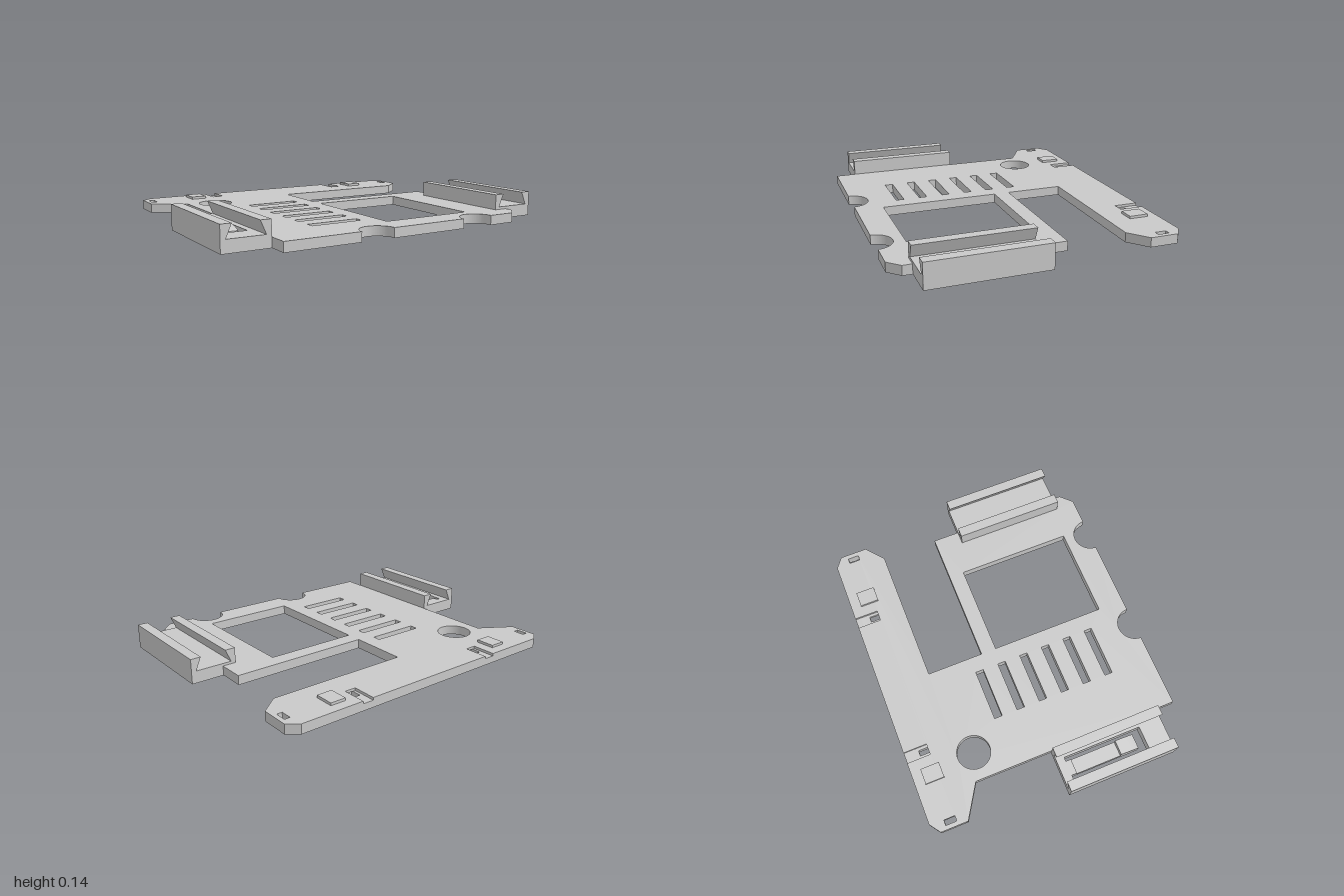
import * as THREE from 'three';
import { toCreasedNormals } from 'three/addons/utils/BufferGeometryUtils.js';

const grey = new THREE.MeshStandardMaterial({ color: 0xc9c9c9 });
grey.name = 'grey plastic';

const PLATE = 0.055, FLOOR = 0.07, RAIL = 0.144;
const Z0 = 0.008, Z1 = 0.677; // ends of the side channels

// Plan outline from (x, z) corners
const outline = (Type, pts) => new Type(pts.map(([x, z]) => new THREE.Vector2(x, -z)));

// Counter-clockwise rectangle in plan
const rect = (x0, x1, z0, z1, Type = THREE.Path) =>
  outline(Type, [[x0, z1], [x1, z1], [x1, z0], [x0, z0]]);

function addMesh(group, name, geometry) {
  const mesh = new THREE.Mesh(geometry, grey);
  mesh.name = name;
  group.add(mesh);
}

// Extrudes a plan shape (x, -z) upwards from y0 to y1
function slab(group, name, shape, y0, y1) {
  const g = new THREE.ExtrudeGeometry(shape, { depth: y1 - y0, bevelEnabled: false, curveSegments: 28 });
  g.rotateX(-Math.PI / 2).translate(0, y0, 0);
  addMesh(group, name, toCreasedNormals(g, 0.5));
}

// Plate outline, optionally with the two shallow notches in its back edge
function plateShape(notched) {
  const s = new THREE.Shape();
  const line = (...pts) => pts.forEach(([x, z]) => s.lineTo(x, -z));
  s.moveTo(-0.86, 0.797);
  if (notched) {
    for (const [a, b] of [[-0.488, -0.422], [0.418, 0.483]])
      line([a, -0.797], [a, -0.655], [b, -0.655], [b, -0.797]);
  }
  line([0.858, -0.797], [0.921, -0.75], [0.921, -0.585], [0.812, -0.495], [-0.025, -0.495],
    [-0.025, -0.153], [0.81, -0.153], [0.81, Z0], [0.73, Z0], [0.73, Z1], [0.81, Z1],
    [0.81, 0.73], [0.743, 0.797]);
  for (const cx of [0.479, -0.191]) {
    line([cx + 0.1, 0.797]);
    s.absarc(cx, -0.797, 0.1, 0, Math.PI, false);
  }
  line([-0.733, 0.797], [-0.733, -0.465], [-0.924, -0.585], [-0.924, -0.75]);
  s.closePath();

  // Round hole, large window and row of vents
  const hole = new THREE.Path();
  hole.absarc(-0.571, 0.416, 0.099, 0, Math.PI * 2, false);
  s.holes.push(hole, rect(-0.024, 0.53, -0.06, 0.637));
  for (let i = 0; i < 6; i++) {
    const z = -0.204 + i * 0.1435;
    s.holes.push(rect(-0.43, -0.122, z - 0.024, z + 0.024));
  }
  return s;
}

// Dovetail channel: a floor with two overhanging rails
function channel(name, x0, x1, slot) {
  const g = new THREE.Group();
  g.name = name;
  const floor = rect(x0, x1, Z0, Z1, THREE.Shape);
  if (slot) floor.holes.push(slot);
  slab(g, 'channelFloor', floor, 0, FLOOR);
  for (const [x, d] of [[x0, 1], [x1, -1]]) {
    const profile = new THREE.Shape([[x, FLOOR], [x + d * 0.028, FLOOR], [x + d * 0.06, RAIL], [x, RAIL]]
      .map(([a, b]) => new THREE.Vector2(a, b)));
    const rail = new THREE.ExtrudeGeometry(profile, { depth: Z1 - Z0, bevelEnabled: false });
    addMesh(g, 'channelRail', rail.translate(0, 0, Z0));
  }
  return g;
}

export function createModel() {
  const model = new THREE.Group();
  model.name = 'mountingBracket';

  // Plate in three layers: strap grooves below, through holes, back notches above
  const [h0, h1] = [-0.711, -0.645];
  const strapHoles = [[-0.899, -0.867], [-0.472, -0.44], [0.433, 0.466], [0.862, 0.894]];
  const bottom = plateShape(false), middle = plateShape(false), top = plateShape(true);
  bottom.holes.push(rect(-0.899, -0.44, h0, h1), rect(0.433, 0.894, h0, h1));
  for (const [a, b] of strapHoles) {
    middle.holes.push(rect(a, b, h0, h1));
    // The inner holes open upwards into the notches
    if (Math.abs(a) > 0.8) top.holes.push(rect(a, b, h0, h1));
  }
  slab(model, 'plateBottom', bottom, 0, 0.022);
  slab(model, 'plateMiddle', middle, 0.022, 0.04);
  slab(model, 'plateTop', top, 0.04, PLATE);

  // Raised pads near the back edge
  for (const x of [-0.597, 0.593])
    slab(model, 'pad', rect(x - 0.046, x + 0.046, -0.737, -0.624, THREE.Shape), PLATE, 0.07);

  // Side channels, the right one with a U-shaped slot around a spring latch
  const [l0, l1, root] = [-0.909, -0.822, 0.09];
  const slot = outline(THREE.Path, [[-0.933, 0.538], [-0.798, 0.538], [-0.798, 0.058], [l1, 0.058],
    [l1, root], [l0, root], [l0, 0.058], [-0.933, 0.058]]);
  model.add(channel('leftChannel', 0.73, 1));
  const latched = channel('rightChannel', -1, -0.733, slot);
  model.add(latched);

  // Spring latch with a rounded barb, drawn in side profile (z, y)
  const latch = new THREE.Shape();
  latch.moveTo(root, 0);
  latch.lineTo(0.483, 0);
  latch.lineTo(0.483, 0.062);
  latch.quadraticCurveTo(0.445, 0.083, 0.368, 0.088);
  latch.lineTo(0.368, 0.05);
  latch.lineTo(root, 0.05);
  latch.closePath();
  const g = new THREE.ExtrudeGeometry(latch, { depth: l1 - l0, bevelEnabled: false, curveSegments: 10 });
  g.rotateY(-Math.PI / 2).translate(l1, 0, 0);
  addMesh(latched, 'springLatch', toCreasedNormals(g, 0.5));

  return model;
}
